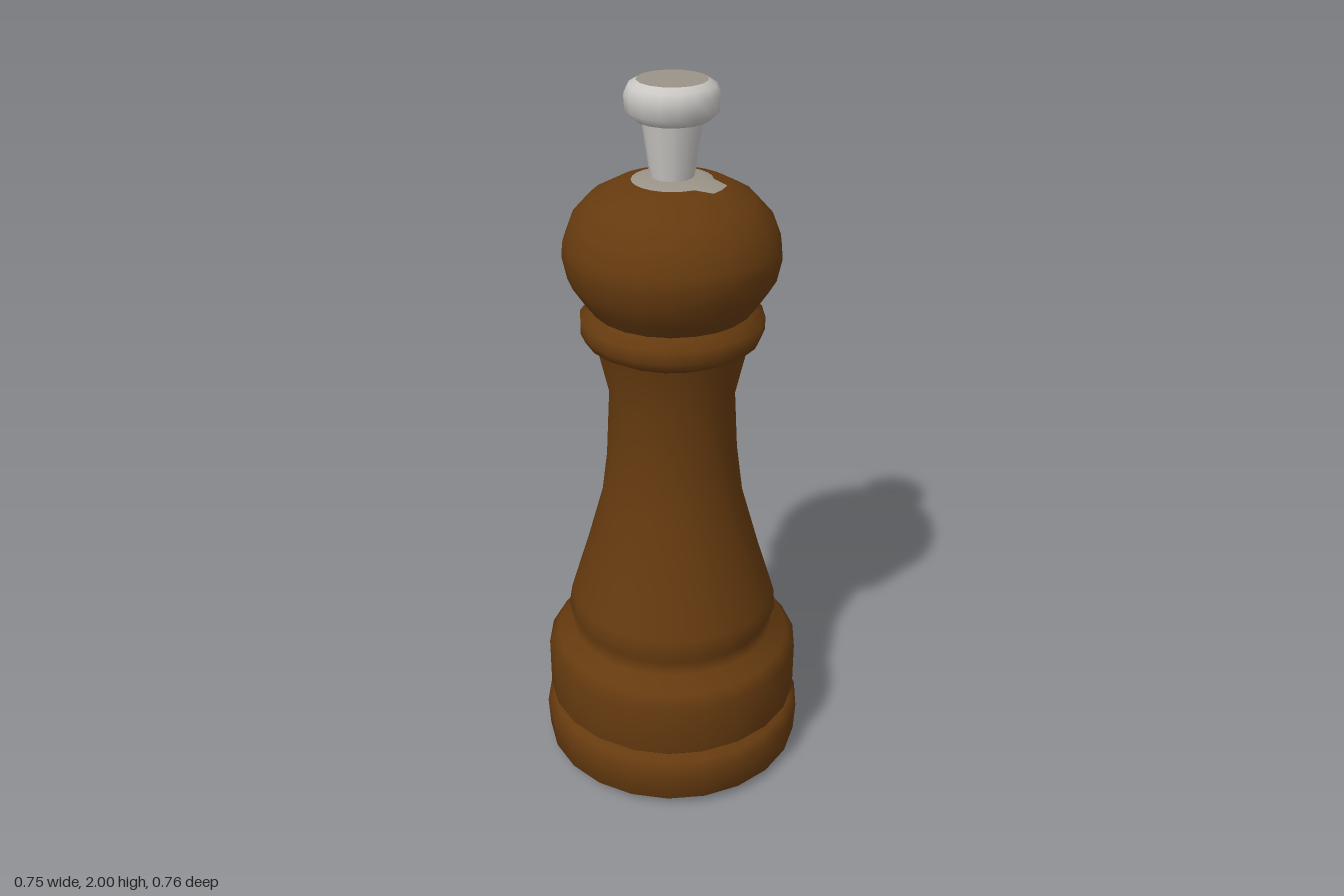
import * as THREE from 'three';

const mat = (name, color) => {
  const m = new THREE.MeshStandardMaterial({ color });
  m.name = name;
  return m;
};

export function createModel() {
  const wood = mat('dark wood', 0x653a0f);
  const metal = mat('polished metal', 0xc9c6c3);
  const dull = mat('dull metal', 0x9a9388);
  const model = new THREE.Group();
  model.name = 'pepperMill';

  // turned part from [radius, height] pairs, bottom to top
  const turn = (name, points, sides, material) => {
    const geo = new THREE.LatheGeometry(points.map(([r, y]) => new THREE.Vector2(r, y)), sides);
    const mesh = new THREE.Mesh(geo, material);
    mesh.name = name;
    model.add(mesh);
    return mesh;
  };

  // foot disc
  turn('base', [[0, 0], [0.34, 0.005], [0.375, 0.03], [0.38, 0.12], [0.36, 0.15], [0.325, 0.165]], 22, wood);
  // drum, flared shaft and neck
  turn('body', [[0.325, 0.163], [0.345, 0.17], [0.366, 0.19], [0.366, 0.34], [0.34, 0.375], [0.295, 0.41],
    [0.282, 0.44], [0.303, 0.475], [0.29, 0.52], [0.25, 0.65], [0.2, 0.83], [0.182, 0.97], [0.172, 1.16],
    [0.205, 1.305]], 22, wood);
  // ring below the head
  turn('collar', [[0.2, 1.3], [0.235, 1.32], [0.246, 1.345], [0.246, 1.38], [0.213, 1.405]], 20, wood);
  // rounded head
  turn('head', [[0.21, 1.4], [0.24, 1.44], [0.273, 1.49], [0.286, 1.55], [0.283, 1.59], [0.26, 1.65],
    [0.215, 1.7], [0.15, 1.735], [0.08, 1.75], [0, 1.752]], 22, wood);

  // washer lying on the head, drawn out to a lip at one side
  const washer = turn('washer', [[0.105, 1.747], [0.08, 1.756], [0, 1.758]], 24, dull);
  const p = washer.geometry.attributes.position;
  for (let i = 0; i < p.count; i++) {
    const r = Math.hypot(p.getX(i), p.getZ(i));
    const toLip = Math.cos(Math.atan2(p.getX(i), p.getZ(i)) - 0.6);
    if (r > 0.1 && toLip > 0.92) {
      p.setXYZ(i, p.getX(i) * 1.35, 1.741, p.getZ(i) * 1.35);
    }
  }
  washer.geometry.computeVertexNormals();

  // finial nut
  turn('finialStem', [[0.055, 1.75], [0.06, 1.78], [0.078, 1.905]], 12, metal);
  turn('finialKnob', [[0.07, 1.898], [0.095, 1.902], [0.119, 1.925], [0.121, 1.965], [0.11, 1.987], [0.09, 1.999]], 16, metal);
  const top = turn('finialTop', [[0.09, 1.999], [0, 2]], 16, dull);
  top.geometry.computeVertexNormals();

  return model;
}
